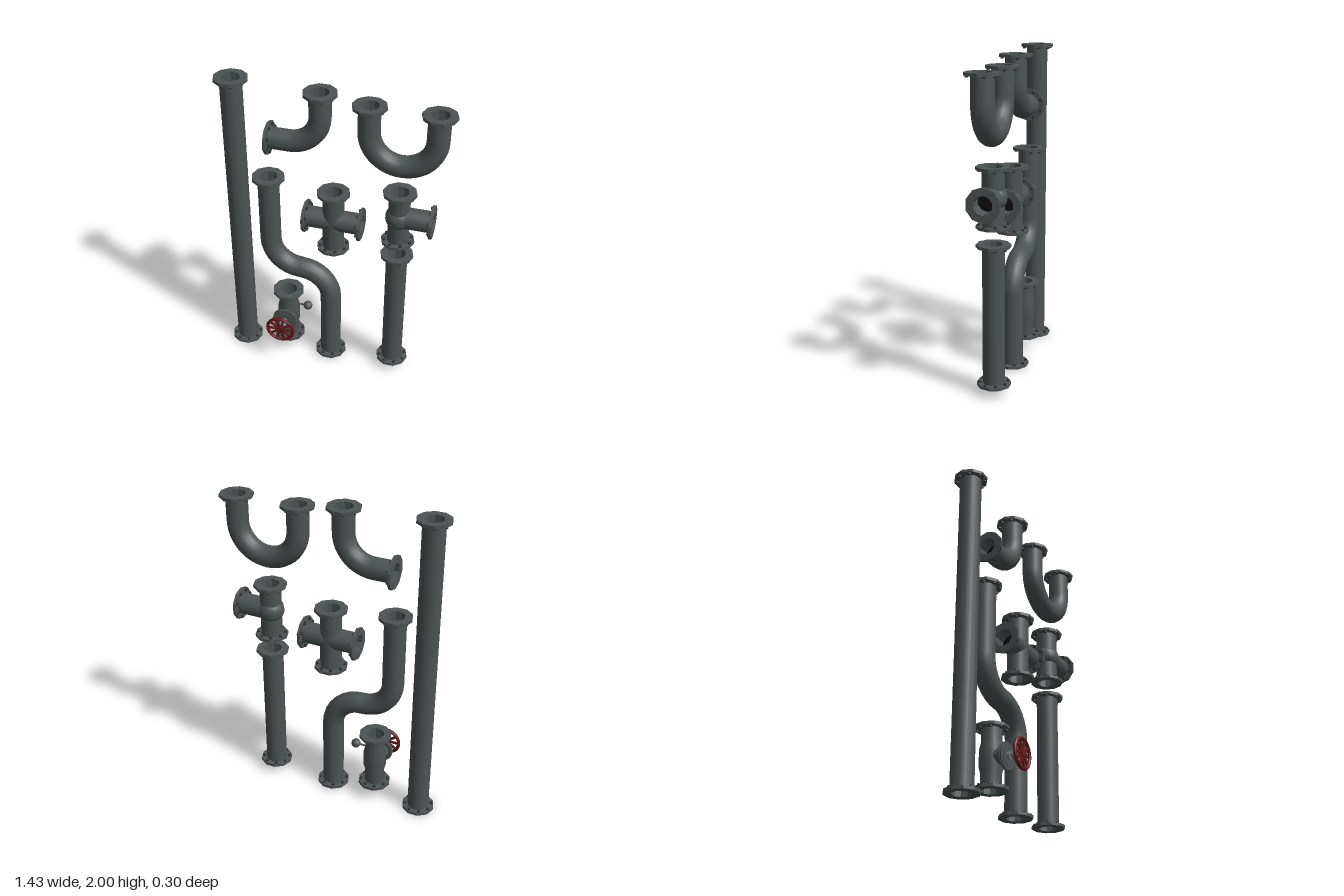
import * as THREE from 'three';

const mat = (name, color) => Object.assign(new THREE.MeshStandardMaterial({ color }), { name });
const V = (x, y, z = 0) => new THREE.Vector3(x, y, z);
const UP = V(0, 1);
const R = 0.067; // pipe radius

// Give a geometry crisp facets
function faceted(geo) {
  const g = geo.toNonIndexed();
  g.computeVertexNormals();
  return g;
}

// Path with circular rounded corners
function roundedPath(points, r) {
  const path = new THREE.CurvePath();
  const k = 0.4477;
  let from = points[0];
  const line = (to) => {
    if (from.distanceTo(to) > 0.005) path.add(new THREE.LineCurve3(from, to));
  };
  for (let i = 1; i < points.length - 1; i++) {
    const c = points[i];
    const inDir = points[i - 1].clone().sub(c).normalize();
    const outDir = points[i + 1].clone().sub(c).normalize();
    const at = (d, s) => c.clone().addScaledVector(d, s);
    const a = at(inDir, r), b = at(outDir, r);
    line(a);
    path.add(new THREE.CubicBezierCurve3(a, at(inDir, r * k), at(outDir, r * k), b));
    from = b;
  }
  line(points[points.length - 1]);
  return path;
}

export function createModel() {
  const iron = mat('iron', 0x4d5354);
  const bore = mat('bore', 0x0c0d0d);
  const boltMetal = mat('bolt metal', 0x303435);
  const steel = mat('steel', 0x7c8283);
  const red = mat('wheel red', 0x651a1a);

  const model = new THREE.Group();
  model.name = 'pipeSet';

  const add = (parent, name, geo, material, pos = V(0, 0)) => {
    const m = new THREE.Mesh(geo, material);
    m.name = name;
    m.position.copy(pos);
    parent.add(m);
    return m;
  };
  const group = (name) => {
    const g = new THREE.Group();
    g.name = name;
    g.position.z = -0.052;
    model.add(g);
    return g;
  };

  // Flange ring with a short bore behind it; the local +y face looks outward
  const ring = [[0.057, -0.1], [0.057, -0.018], [0.103, -0.018], [0.103, 0], [0.057, 0], [0.057, -0.1]];
  const flangeGeo = faceted(new THREE.LatheGeometry(
    ring.slice(1).map(([x, y]) => new THREE.Vector2(x, y)), 10, Math.PI / 2));
  const wallGeo = new THREE.LatheGeometry(
    [new THREE.Vector2(0.057, 0), new THREE.Vector2(0.057, -0.1)], 10, Math.PI / 2);
  const capGeo = new THREE.CircleGeometry(0.058, 10).rotateX(-Math.PI / 2);
  const boltGeo = faceted(new THREE.CylinderGeometry(0.01, 0.01, 0.01, 6));

  function flange(parent, pos, dir) {
    const f = new THREE.Group();
    f.name = 'flange';
    f.position.copy(pos);
    f.quaternion.setFromUnitVectors(UP, dir);
    add(f, 'flangeRing', flangeGeo, iron);
    add(f, 'innerWall', wallGeo, iron);
    add(f, 'boreEnd', capGeo, bore, V(0, -0.095));
    for (let i = 0; i < 8; i++) {
      const a = (i + 0.5) * Math.PI / 4;
      add(f, 'bolt', boltGeo, boltMetal, V(Math.cos(a) * 0.085, -0.023, Math.sin(a) * 0.085));
    }
    parent.add(f);
  }

  // Pipe along a path with a flange at each end
  function pipe(name, points, bend = 0) {
    const g = group(name);
    const n = points.length;
    const geo = new THREE.TubeGeometry(roundedPath(points, bend), n > 2 ? 40 : 1, R, 16);
    add(g, 'pipeBody', geo, iron);
    flange(g, points[0], points[0].clone().sub(points[1]).normalize());
    flange(g, points[n - 1], points[n - 1].clone().sub(points[n - 2]).normalize());
    return g;
  }

  // Straight and bent pipes
  pipe('longPipe', [V(-0.614, 2), V(-0.614, 0)]);
  pipe('shortPipe', [V(0.407, 0.932), V(0.407, 0.055)]);
  pipe('elbowPipe', [V(-0.405, 1.632), V(-0.08, 1.632), V(-0.08, 1.98)], 0.19);
  pipe('uBendPipe', [V(0.209, 1.94), V(0.209, 1.57), V(0.608, 1.57), V(0.608, 1.94)], 0.199);
  pipe('offsetPipe', [V(-0.413, 1.355), V(-0.413, 0.685), V(-0.016, 0.685), V(-0.016, 0.013)], 0.198);

  // Branch from a centre out to a flange along x
  function branch(g, x, y, length) {
    const geo = new THREE.CylinderGeometry(R, R, Math.abs(length), 16, 1, true).rotateZ(Math.PI / 2);
    add(g, 'branch', geo, iron, V(x + length / 2, y));
    flange(g, V(x + length, y), V(Math.sign(length), 0));
  }

  // Cross fitting
  const cross = pipe('crossFitting', [V(0, 1.314), V(0, 0.898)]);
  branch(cross, 0, 1.106, 0.183);
  branch(cross, 0, 1.106, -0.183);

  // Tee fitting with a swollen middle
  const tee = pipe('teeFitting', [V(0.407, 1.39), V(0.407, 1.028)]);
  branch(tee, 0.407, 1.209, 0.213);
  add(tee, 'teeBulge', new THREE.SphereGeometry(0.083, 16, 12), iron, V(0.407, 1.209));

  // Valve body
  const valve = group('valve');
  valve.position.x = -0.307;
  valve.position.y = 0.289;
  const body = [[0.062, -0.19], [0.062, -0.09], [0.072, -0.05], [0.072, 0.05], [0.062, 0.09], [0.062, 0.19]];
  add(valve, 'valveBody', new THREE.LatheGeometry(body.map(([x, y]) => new THREE.Vector2(x, y)), 16), iron);
  flange(valve, V(0, 0.191), UP);
  flange(valve, V(0, -0.191), V(0, -1));

  // Bonnet and stem toward the front
  const disc = (name, r, z0, z1, material, sides = 12) =>
    add(valve, name, faceted(new THREE.CylinderGeometry(r, r, z1 - z0, sides).rotateX(Math.PI / 2)),
      material, V(0, 0, (z0 + z1) / 2));
  disc('bonnetNeck', 0.058, 0, 0.09, iron, 16);
  disc('bonnetFlange', 0.083, 0.086, 0.094, iron);
  disc('bonnetCover', 0.083, 0.098, 0.106, iron);
  disc('bonnetCore', 0.06, 0.09, 0.11, iron);
  disc('stem', 0.012, 0.1, 0.205, steel, 8);
  add(valve, 'stemKnob', new THREE.SphereGeometry(0.026, 10, 8), steel, V(0, 0, 0.148));
  disc('stemCollar', 0.024, 0.108, 0.124, steel, 8);
  disc('stemNut', 0.018, 0.172, 0.184, steel, 6);

  // Handwheel
  const wheel = new THREE.Group();
  wheel.name = 'handwheel';
  wheel.position.z = 0.196;
  valve.add(wheel);
  add(wheel, 'wheelRim', new THREE.TorusGeometry(0.087, 0.011, 8, 24), red);
  add(wheel, 'wheelHub', faceted(new THREE.CylinderGeometry(0.024, 0.024, 0.022, 12).rotateX(Math.PI / 2)), red);
  for (let i = 0; i < 10; i++) {
    const a = i * Math.PI / 5;
    const s = add(wheel, 'spoke', new THREE.BoxGeometry(0.07, 0.014, 0.01), red,
      V(Math.cos(a) * 0.05, Math.sin(a) * 0.05));
    s.rotation.z = a;
  }

  // Small side knob on a rod
  add(valve, 'sideRod', new THREE.CylinderGeometry(0.006, 0.006, 0.1, 8).rotateZ(Math.PI / 2), iron, V(0.08, 0.074));
  add(valve, 'sideKnob', new THREE.SphereGeometry(0.03, 12, 10), iron, V(0.132, 0.074));

  return model;
}
